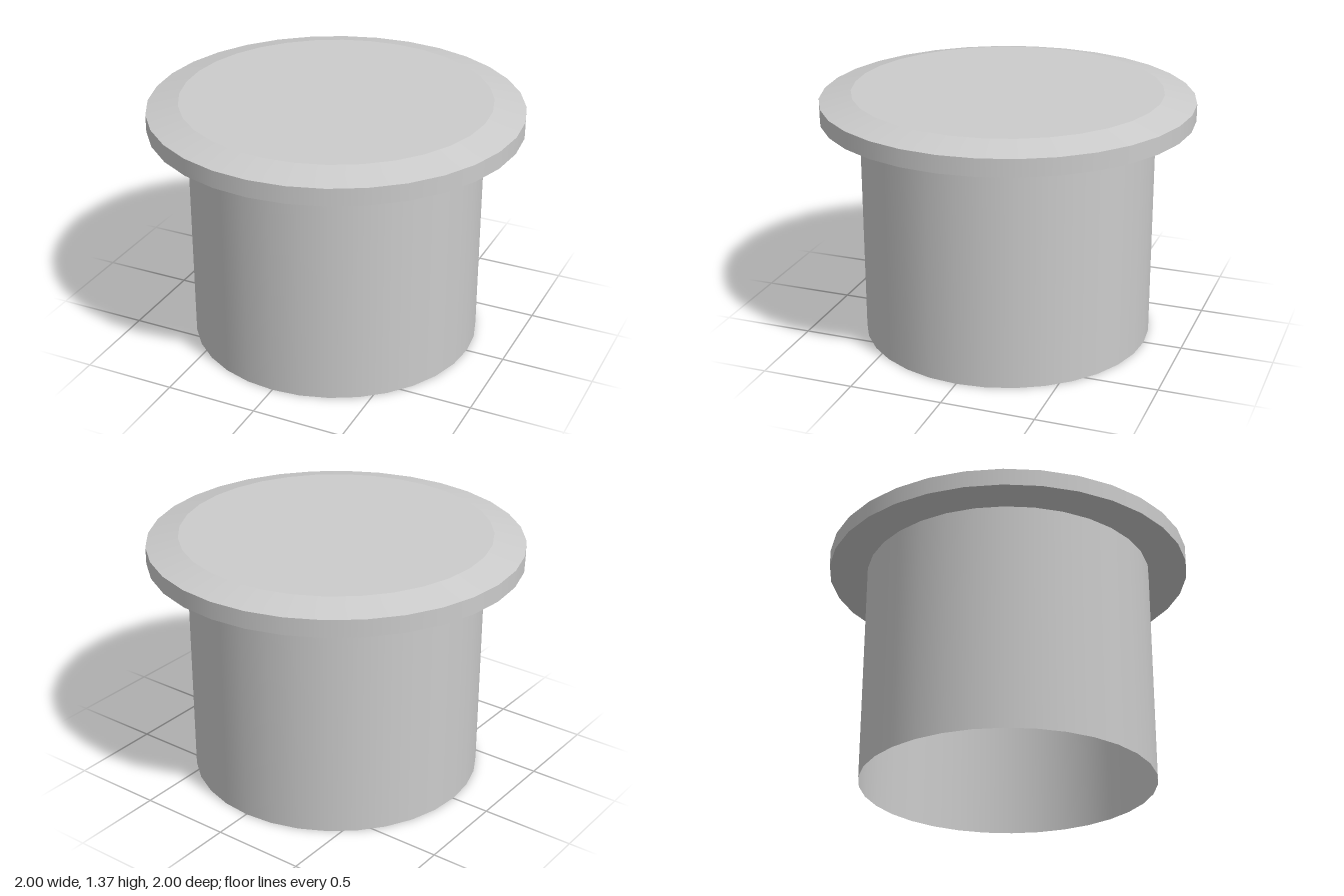
import * as THREE from 'three';

const SIDES = 32;

export function createModel() {
  const group = new THREE.Group();
  const material = new THREE.MeshStandardMaterial({ color: 0xcccccc, side: THREE.DoubleSide });

  const add = (name, geometry, y, tilt = 0) => {
    const mesh = new THREE.Mesh(geometry, material);
    mesh.name = name;
    mesh.position.y = y;
    mesh.rotation.x = tilt;
    group.add(mesh);
  };
  // Open band around the axis, from y0 up to y1
  const band = (name, bottomRadius, topRadius, y0, y1) =>
    add(name, new THREE.CylinderGeometry(topRadius, bottomRadius, y1 - y0, SIDES, 1, true), (y0 + y1) / 2);

  // Hollow body, open at the bottom
  band('body', 0.79, 0.79, 0, 1.232);

  // Flanged cap: underside ring, rim, shallow bevel and flat top
  add('flangeUnderside', new THREE.RingGeometry(0.79, 1, SIDES), 1.232, Math.PI / 2);
  band('flangeRim', 1, 1, 1.232, 1.325);
  band('capBevel', 1, 0.83, 1.325, 1.367);
  add('capTop', new THREE.CircleGeometry(0.83, SIDES), 1.367, -Math.PI / 2);

  return group;
}
